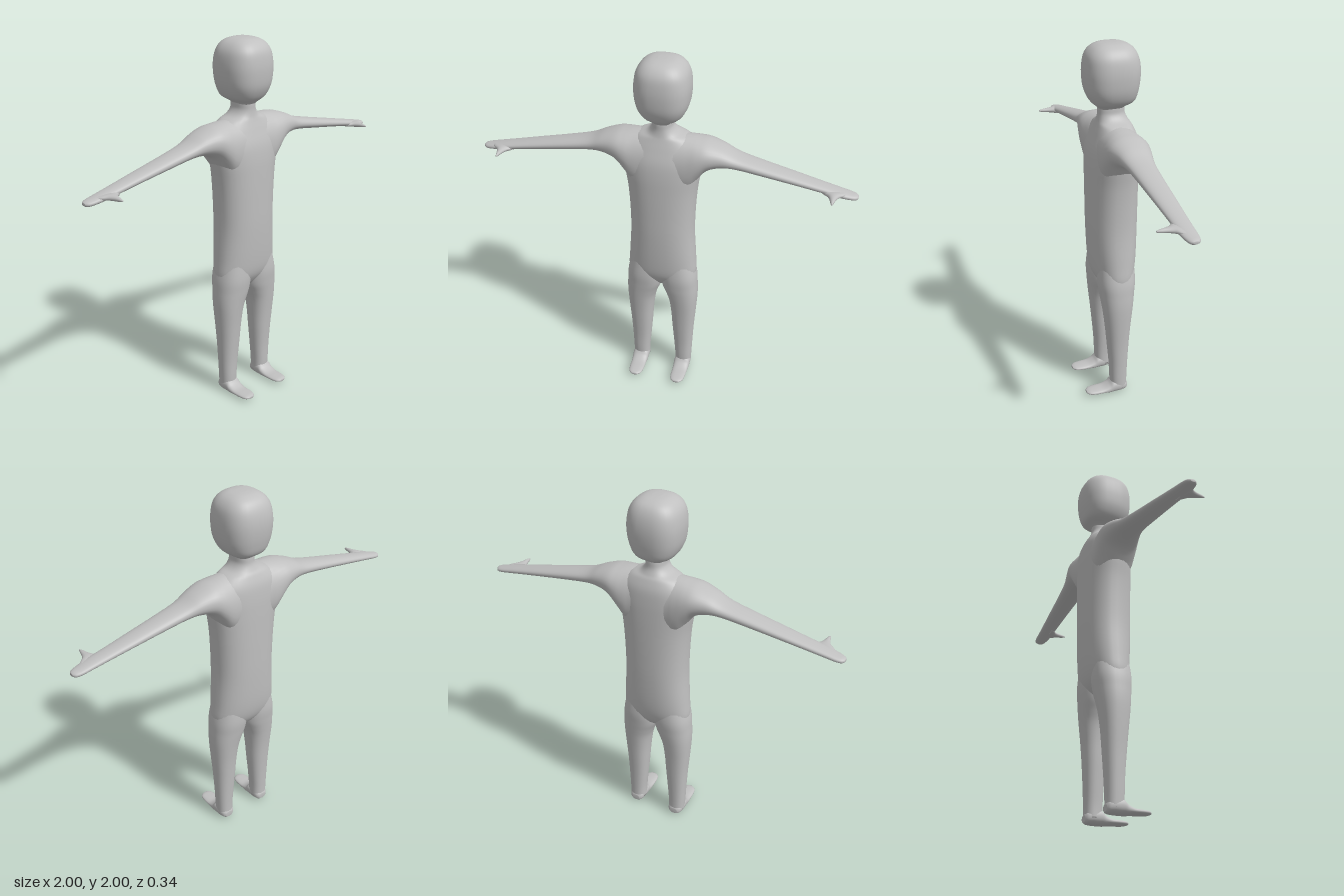
import * as THREE from 'three';

const skin = new THREE.MeshStandardMaterial({ color: 0xc0c0c0 });
skin.name = 'plain grey';

// Uniform Catmull-Rom through rows of numbers
function smoothRows(rows, steps) {
  const out = [];
  const last = rows.length - 1;
  for (let i = 0; i < last; i++) {
    const p0 = rows[Math.max(i - 1, 0)], p1 = rows[i];
    const p2 = rows[i + 1], p3 = rows[Math.min(i + 2, last)];
    for (let k = 0; k < steps; k++) {
      const t = k / steps;
      out.push(p1.map((b, n) => {
        const m1 = (p2[n] - p0[n]) / 2, m2 = (p3[n] - b) / 2, d = p2[n] - b;
        return b + m1 * t + (3 * d - 2 * m1 - m2) * t * t + (m1 + m2 - 2 * d) * t * t * t;
      }));
    }
  }
  out.push(rows[last]);
  return out;
}

// Closed skin over rounded sections [s, a0, a1, b0, b1]; axes (a, b, s) are right-handed
function loft(name, rows, place, power = 2.3, sides = 32, steps = 5) {
  const pos = [], index = [];
  const rings = smoothRows(rows, steps);
  const bend = (v) => Math.sign(v) * Math.abs(v) ** (2 / power);
  for (const [s, a0, a1, b0, b1] of rings) {
    for (let j = 0; j < sides; j++) {
      const q = (j / sides) * Math.PI * 2;
      const a = (a0 + a1) / 2 + bend(Math.cos(q)) * (a1 - a0) / 2;
      const b = (b0 + b1) / 2 + bend(Math.sin(q)) * (b1 - b0) / 2;
      pos.push(...place(s, a, b));
    }
  }
  const n = rings.length, start = n * sides, end = start + 1;
  for (const [s, a0, a1, b0, b1] of [rings[0], rings[n - 1]]) {
    pos.push(...place(s, (a0 + a1) / 2, (b0 + b1) / 2));
  }
  for (let j = 0; j < sides; j++) {
    const k = (j + 1) % sides, top = (n - 1) * sides;
    for (let i = 0; i < n - 1; i++) {
      const p = i * sides + j, q = i * sides + k;
      index.push(p, q, p + sides, q, q + sides, p + sides);
    }
    index.push(start, k, j, end, top + j, top + k);
  }
  const geo = new THREE.BufferGeometry();
  geo.setAttribute('position', new THREE.Float32BufferAttribute(pos, 3));
  geo.setIndex(index);
  geo.computeVertexNormals();
  const mesh = new THREE.Mesh(geo, skin);
  mesh.name = name;
  return mesh;
}

const alongX = (s, a, b) => [s, a, b];   // a = y, b = z
const alongY = (s, a, b) => [b, s, a];   // a = z, b = x
const alongZ = (s, a, b) => [a, b, s];   // a = x, b = y

export function createModel() {
  const model = new THREE.Group();
  model.name = 'figure';

  // Torso from crotch to neck: y, back, front, half width
  const torso = [
    [0.63, -0.05, 0.01, 0.11], [0.67, -0.095, 0.045, 0.165], [0.73, -0.128, 0.077, 0.19],
    [0.83, -0.146, 0.092, 0.185], [1.0, -0.155, 0.102, 0.174], [1.15, -0.157, 0.104, 0.176],
    [1.28, -0.157, 0.104, 0.185], [1.38, -0.156, 0.102, 0.2], [1.46, -0.153, 0.093, 0.21],
    [1.53, -0.145, 0.072, 0.19], [1.58, -0.127, 0.055, 0.14], [1.605, -0.112, 0.048, 0.082],
    [1.635, -0.099, 0.044, 0.056], [1.67, -0.096, 0.044, 0.052], [1.72, -0.09, 0.04, 0.05],
  ].map(([y, z0, z1, r]) => [y, z0, z1, -r, r]);
  model.add(loft('torso', torso, alongY));

  // Head
  const head = [
    [1.655, -0.085, 0.033, 0.042], [1.675, -0.1, 0.05, 0.058], [1.705, -0.142, 0.082, 0.103],
    [1.76, -0.16, 0.108, 0.13], [1.83, -0.169, 0.117, 0.14], [1.89, -0.167, 0.115, 0.138],
    [1.94, -0.154, 0.104, 0.126], [1.975, -0.13, 0.078, 0.1], [1.994, -0.092, 0.042, 0.064],
    [2.0, -0.05, 0.0, 0.022],
  ].map(([y, z0, z1, r]) => [y, z0, z1, -r, r]);
  model.add(loft('head', head, alongY, 2.6));

  // Both arms and the shoulder line as one span: x, bottom, top, back, front
  const arm = [
    [0.08, 1.27, 1.592, -0.145, 0.085], [0.14, 1.29, 1.59, -0.15, 0.085],
    [0.19, 1.36, 1.585, -0.15, 0.082], [0.24, 1.42, 1.577, -0.143, 0.072],
    [0.31, 1.445, 1.553, -0.125, 0.052], [0.39, 1.445, 1.517, -0.107, 0.035],
    [0.52, 1.426, 1.485, -0.095, 0.027], [0.68, 1.401, 1.449, -0.085, 0.02],
    [0.8, 1.381, 1.422, -0.077, 0.015], [0.9, 1.364, 1.4, -0.071, 0.012],
    [0.955, 1.356, 1.387, -0.068, 0.004], [0.985, 1.354, 1.38, -0.06, -0.006],
    [0.998, 1.36, 1.374, -0.045, -0.02],
  ];
  const otherArm = arm.map(([x, ...rest]) => [-x, ...rest]).reverse();
  model.add(loft('armsAndShoulders', [...otherArm, ...arm], alongX, 2.2));

  for (const [side, label] of [[1, 'left'], [-1, 'right']]) {
    const span = (x0, x1) => (side > 0 ? [x0, x1] : [-x1, -x0]);

    // Leg: y, back, front, inner, outer
    const leg = [
      [0.03, -0.072, 0.02, 0.082, 0.173], [0.1, -0.073, 0.024, 0.08, 0.176],
      [0.2, -0.077, 0.028, 0.072, 0.18], [0.32, -0.084, 0.038, 0.062, 0.186],
      [0.43, -0.092, 0.048, 0.054, 0.194], [0.52, -0.102, 0.058, 0.042, 0.2],
      [0.58, -0.11, 0.065, 0.023, 0.202], [0.64, -0.118, 0.072, 0.0, 0.2],
      [0.72, -0.126, 0.078, -0.01, 0.193], [0.84, -0.12, 0.07, -0.01, 0.165],
    ].map(([y, z0, z1, x0, x1]) => [y, z0, z1, ...span(x0, x1)]);
    model.add(loft(label + 'Leg', leg, alongY));

    // Foot: z, inner, outer, bottom, top
    const foot = [
      [-0.075, 0.105, 0.15, 0.012, 0.045], [-0.062, 0.09, 0.165, 0.003, 0.065],
      [-0.03, 0.082, 0.174, 0.0, 0.08], [0.01, 0.081, 0.175, 0.0, 0.08],
      [0.035, 0.082, 0.174, 0.002, 0.056], [0.07, 0.084, 0.171, 0.007, 0.04],
      [0.115, 0.085, 0.169, 0.01, 0.037], [0.15, 0.092, 0.162, 0.013, 0.035],
      [0.168, 0.11, 0.144, 0.018, 0.03],
    ].map(([z, x0, x1, y0, y1]) => [z, ...span(x0, x1), y0, y1]);
    model.add(loft(label + 'Foot', foot, alongZ));

    // Thumb: z, inner, outer, bottom, top
    const thumb = [
      [-0.02, 0.8, 0.95, 1.372, 1.396], [0.005, 0.82, 0.93, 1.37, 1.4],
      [0.025, 0.846, 0.907, 1.371, 1.401], [0.05, 0.859, 0.894, 1.374, 1.399],
      [0.08, 0.867, 0.886, 1.378, 1.396], [0.1, 0.873, 0.88, 1.383, 1.391],
    ].map(([z, x0, x1, y0, y1]) => [z, ...span(x0, x1), y0, y1]);
    model.add(loft(label + 'Thumb', thumb, alongZ, 2, 16, 4));
  }
  return model;
}
